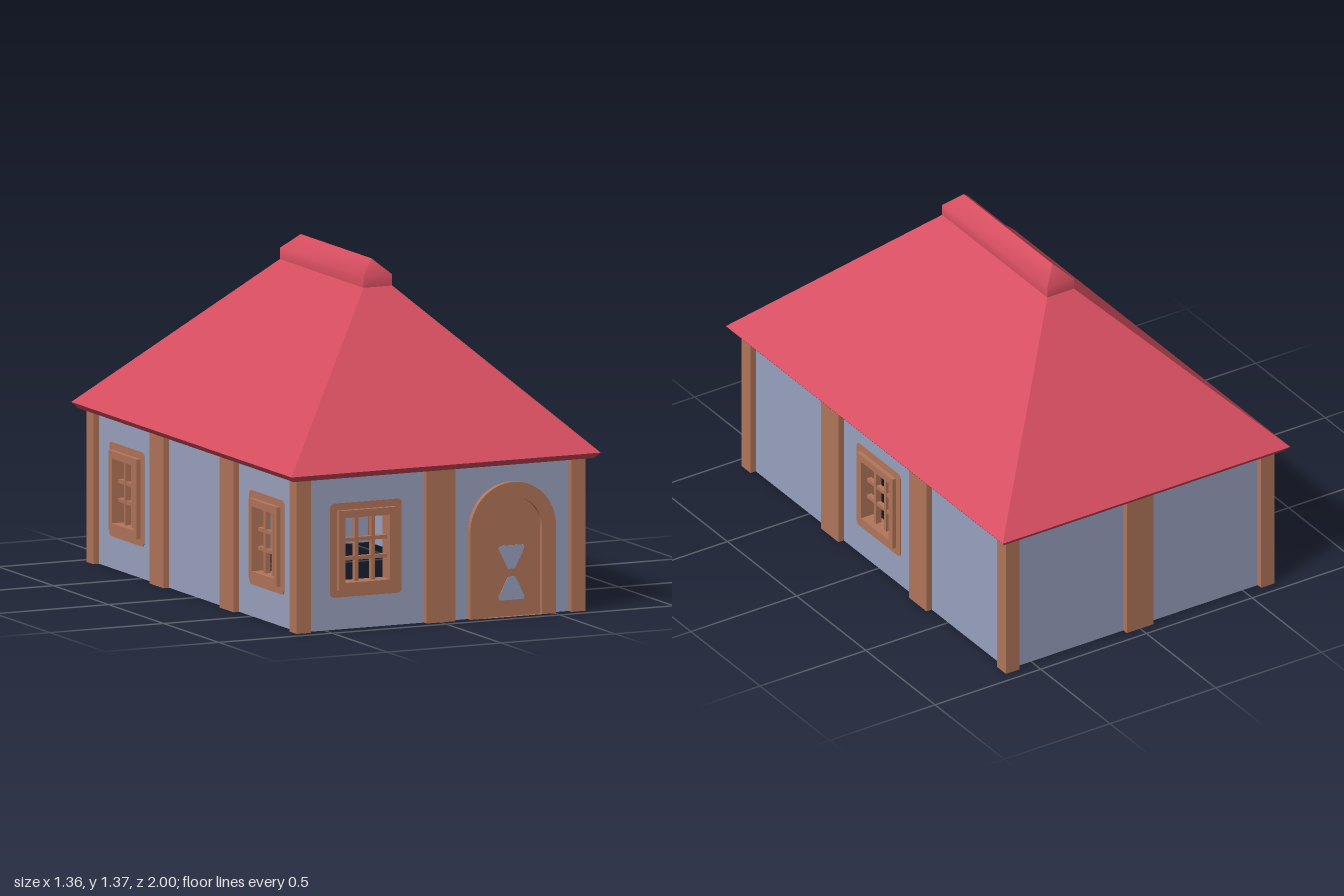
import * as THREE from 'three';
import { toCreasedNormals } from 'three/addons/utils/BufferGeometryUtils.js';

const roofRed = new THREE.MeshStandardMaterial({ color: 0xd54d5f });
roofRed.name = 'roof red';
const wallBlue = new THREE.MeshStandardMaterial({ color: 0x9aa2c0 });
wallBlue.name = 'wall blue grey';
const wood = new THREE.MeshStandardMaterial({ color: 0xb3765b });
wood.name = 'wood brown';

const WALL_H = 0.64, FACE = 0.0175, WIN_Y = 0.318;

function add(parent, name, geometry, material, x = 0, y = 0, z = 0) {
  const m = new THREE.Mesh(geometry, material);
  m.name = name;
  m.position.set(x, y, z);
  parent.add(m);
  return m;
}

const box = (w, h, d) => new THREE.BoxGeometry(w, h, d);

// Rectangle outline centred on (x, y), with optional rounded corners
function rect(x, y, hw, hh, r = 0, Type = THREE.Shape) {
  const s = new Type();
  if (!r) {
    s.setFromPoints([[-1, -1], [1, -1], [1, 1], [-1, 1], [-1, -1]].map(([a, b]) => new THREE.Vector2(x + a * hw, y + b * hh)));
    return s;
  }
  s.absarc(x + hw - r, y + hh - r, r, 0, Math.PI / 2);
  s.absarc(x - hw + r, y + hh - r, r, Math.PI / 2, Math.PI);
  s.absarc(x - hw + r, y - hh + r, r, Math.PI, Math.PI * 1.5);
  s.absarc(x + hw - r, y - hh + r, r, Math.PI * 1.5, Math.PI * 2);
  s.closePath();
  return s;
}

// Extrude a shape from depth z0 to z1
function slab(shape, z0, z1) {
  const g = new THREE.ExtrudeGeometry(shape, { depth: z1 - z0, bevelEnabled: false, curveSegments: 16 });
  return g.translate(0, 0, z0);
}

// Solid through rectangular rings [halfX, halfZ, y], from the underside outward and up
function rectLoft(rings) {
  const pos = [];
  const corner = ([hx, hz, y], i) => [[hx, y, hz], [hx, y, -hz], [-hx, y, -hz], [-hx, y, hz]][i % 4];
  const quad = (a, b, c, d) => pos.push(...a, ...b, ...c, ...a, ...c, ...d);
  for (let k = 0; k < rings.length - 1; k++)
    for (let i = 0; i < 4; i++)
      quad(corner(rings[k], i), corner(rings[k], i + 1), corner(rings[k + 1], i + 1), corner(rings[k + 1], i));
  const lo = rings[0], hi = rings[rings.length - 1];
  quad(corner(lo, 3), corner(lo, 2), corner(lo, 1), corner(lo, 0));
  if (hi[0] > 0) quad(corner(hi, 0), corner(hi, 1), corner(hi, 2), corner(hi, 3));
  const g = new THREE.BufferGeometry();
  g.setAttribute('position', new THREE.Float32BufferAttribute(pos, 3));
  g.computeVertexNormals();
  return g;
}

// Window: painted trim on both wall faces, solid sash and lattice.
// The inner paint runs from inner[0] to inner[1] beside the window centre.
function makeWindow(x, inner) {
  const g = new THREE.Group();
  g.name = 'window';
  g.position.set(x, WIN_Y, 0);
  const outside = rect(0, 0, 0.157, 0.189, 0.018);
  const inside = rect((inner[0] + inner[1]) / 2, 0, (inner[1] - inner[0]) / 2, 0.18, 0.018);
  for (const s of [outside, inside]) s.holes.push(rect(0, 0, 0.126, 0.159, 0, THREE.Path));
  add(g, 'trimOutside', slab(outside, FACE, FACE + 0.003), wood);
  add(g, 'trimInside', slab(inside, -FACE - 0.003, -FACE), wood);
  const sash = rect(0, 0, 0.127, 0.16);
  sash.holes.push(rect(0, 0, 0.098, 0.13, 0, THREE.Path));
  add(g, 'windowSash', slab(sash, -0.032, 0.038), wood);
  for (const s of [-1, 1]) {
    add(g, 'verticalBar', box(0.015, 0.26, 0.024), wood, s * 0.036, 0, 0);
    add(g, 'horizontalBar', box(0.2, 0.015, 0.02), wood, 0, s * 0.038, 0);
  }
  return g;
}

// Arch outline with its feet on the ground
function arch(x, r, Type = THREE.Shape) {
  const s = new Type();
  s.moveTo(x - r, 0);
  s.lineTo(x + r, 0);
  s.absarc(x, 0.352, r, 0, Math.PI);
  s.lineTo(x - r, 0);
  return s;
}

function makeDoor(x) {
  const g = new THREE.Group();
  g.name = 'door';
  const frame = arch(x, 0.188);
  frame.holes.push(arch(x, 0.127, THREE.Path));
  add(g, 'doorFrame', slab(frame, -0.035, 0.041), wood);
  add(g, 'doorLeaf', slab(arch(x, 0.127), -0.024, 0.024), wood);
  // Hourglass painted on both faces of the leaf
  const half = [[-0.052, 0.06], [0.052, 0.06], [0.057, 0.047], [0.015, -0.034], [-0.015, -0.034], [-0.057, 0.047]];
  for (const [cy, s] of [[0.224, 1], [0.125, -1]]) {
    const shape = new THREE.Shape(half.map(([a, b]) => new THREE.Vector2(x + a, cy + s * b)));
    add(g, 'hourglassPaint', slab(shape, -0.026, 0.026), wallBlue);
  }
  return g;
}

// Wall facing +z in its own frame, with windows, posts and an optional door
function makeWall(name, halfWidth, windows, inner, posts, doorX) {
  const g = new THREE.Group();
  g.name = name;
  const s = rect(0, WALL_H / 2, halfWidth, WALL_H / 2);
  for (const x of windows) {
    s.holes.push(rect(x, WIN_Y, 0.12, 0.153, 0, THREE.Path));
    g.add(makeWindow(x, inner));
  }
  add(g, 'wallPanel', slab(s, -FACE, FACE), wallBlue);
  for (const x of posts) add(g, 'wallPost', box(0.127, WALL_H, 0.09), wood, x, WALL_H / 2, -0.0025);
  if (doorX !== undefined) g.add(makeDoor(doorX));
  return g;
}

export function createModel() {
  const house = new THREE.Group();
  house.name = 'house';

  // Walls: [name, half width, windows, inner paint extent, posts, x, z, turn, door]
  const walls = [
    ['frontWall', 0.61, [-0.32], [-0.255, 0.18], [0], 0, 0.9125, 0, 0.3175],
    ['backWall', 0.61, [], [], [0], 0, -0.9125, Math.PI],
    ['leftWall', 0.895, [0], [-0.18, 0.18], [-0.318, 0.318], 0.5925, 0, Math.PI / 2],
    ['rightWall', 0.895, [-0.635, 0.635], [-0.175, 0.26], [-0.318, 0.318], -0.5925, 0, -Math.PI / 2],
  ];
  for (const [name, half, windows, inner, posts, x, z, turn, door] of walls) {
    const w = makeWall(name, half, windows, inner, posts, door);
    w.position.set(x, 0, z);
    w.rotation.y = turn;
    house.add(w);
  }

  // Corner posts
  for (const sx of [-1, 1])
    for (const sz of [-1, 1])
      add(house, 'cornerPost', box(0.063, WALL_H, 0.065), wood, sx * 0.6035, WALL_H / 2, sz * 0.9225);

  // Ceiling in two boards with a narrow seam
  for (const s of [-1, 1])
    add(house, 'ceilingBoard', box(1.16, 0.01, 0.892), wood, 0, 0.63, s * 0.449);

  // Hipped roof with square-cut sloping eaves, and its softly shaded ridge cap
  add(house, 'roof', rectLoft([[0.6, 0.92, 0.675], [0.66, 0.98, 0.615], [0.68, 1, 0.638], [0.063, 0.38, 1.26]]), roofRed);
  const cap = rectLoft([[0.063, 0.38, 1.255], [0.063, 0.38, 1.305], [0, 0.32, 1.365]]);
  add(house, 'ridgeCap', toCreasedNormals(cap, 0.9), roofRed);

  return house;
}
